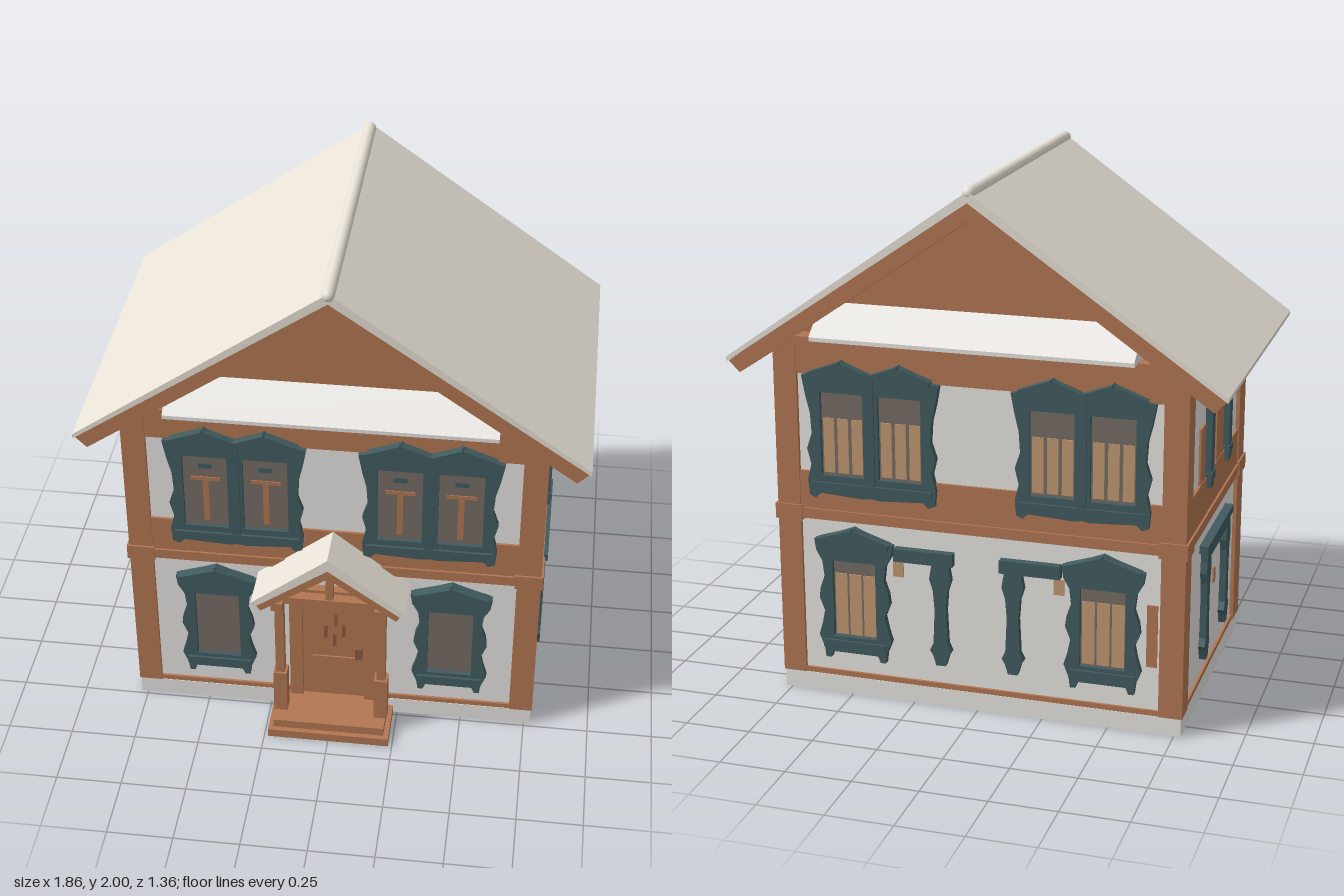
import * as THREE from 'three';

const mat = (name, color) => {
  const m = new THREE.MeshStandardMaterial({ color });
  m.name = name;
  return m;
};

export function createModel() {
  const wall = mat('plaster', 0xfffcf8);
  const snow = mat('snow', 0xebe5da);
  const wood = mat('wood', 0xb27652);
  const darkWood = mat('dark wood', 0x8a5a40);
  const teal = mat('teal trim', 0x415b5f);
  const glass = mat('glass', 0x766b63);
  const tan = mat('curtain', 0xc29872);
  const floorMat = mat('floor', 0xdcd8d2);

  const house = new THREE.Group();
  house.name = 'house';

  const add = (parent, name, geo, material) => {
    const m = new THREE.Mesh(geo, material);
    m.name = name;
    parent.add(m);
    return m;
  };
  // Box given by its minimum and maximum on each axis
  const box = (parent, name, material, x0, x1, y0, y1, z0, z1) => {
    const m = add(parent, name, new THREE.BoxGeometry(x1 - x0, y1 - y0, z1 - z0), material);
    m.position.set((x0 + x1) / 2, (y0 + y1) / 2, (z0 + z1) / 2);
    return m;
  };
  const shapeOf = pts => new THREE.Shape(pts.map(p => new THREE.Vector2(p[0], p[1])));
  const extrude = (shape, z0, z1) =>
    new THREE.ExtrudeGeometry(shape, { depth: z1 - z0, bevelEnabled: false }).translate(0, 0, z0);
  // Closed outline from a right half running bottom to top
  const mirrored = half =>
    half.concat(half.filter(p => p[0] > 0).reverse().map(p => [-p[0], p[1]]));
  const rectHole = (x0, x1, y0, y1) =>
    new THREE.Path([[x0, y0], [x0, y1], [x1, y1], [x1, y0]].map(p => new THREE.Vector2(...p)));
  // Gable roof section: two sloping slabs meeting at the ridge
  const chevron = (top, tipX, tipY, lowX, lowY, under) =>
    shapeOf([[0, top], [-tipX, tipY], [-lowX, lowY], [0, under], [lowX, lowY], [tipX, tipY]]);

  // Core, hollow foundation with a recessed floor, and timber bands
  box(house, 'plasterWalls', wall, -0.765, 0.765, 0.05, 1.4, -0.578, 0.473);
  const ring = shapeOf([[-0.775, -0.485], [0.775, -0.485], [0.775, 0.59], [-0.775, 0.59]]);
  ring.holes.push(rectHole(-0.755, 0.755, -0.465, 0.57));
  add(house, 'foundation', extrude(ring, 0, 0.07), wall).rotation.x = -Math.PI / 2;
  box(house, 'floor', floorMat, -0.755, 0.755, 0.03, 0.06, -0.57, 0.465);
  const band = (name, y0, y1, out) =>
    box(house, name, wood, -0.765 - out, 0.765 + out, y0, y1, -0.578 - out, 0.473 + out);
  band('baseRail', 0.07, 0.09, 0.01);
  band('middleBeam', 0.7, 0.885, 0.01);
  band('middleMoulding', 0.7, 0.74, 0.018);
  band('topBeam', 1.26, 1.41, 0.01);
  band('topMoulding', 1.37, 1.395, 0.018);

  // Corner posts with collars
  for (const sx of [-1, 1]) for (const [z0, z1] of [[0.375, 0.487], [-0.592, -0.495]]) {
    const [a, b] = sx > 0 ? [0.69, 0.78] : [-0.78, -0.69];
    box(house, 'cornerPost', wood, a, b, 0.07, 1.39, z0, z1);
    box(house, 'cornerCollar', wood, a - 0.008, b + 0.008, 0.69, 0.75, z0 - 0.008, z1 + 0.008);
  }

  // Gable and main roof
  add(house, 'gable', extrude(shapeOf([[-0.77, 1.36], [0.77, 1.36], [0, 1.9]]), -0.55, 0.45), wood);
  add(house, 'roofBoards', extrude(chevron(1.95, 0.922, 1.31, 0.88, 1.268, 1.88), -0.665, 0.583), wood);
  add(house, 'roofSnow', extrude(chevron(1.985, 0.93, 1.325, 0.928, 1.308, 1.945), -0.672, 0.59), snow);
  const ridge = add(house, 'ridgeSnow', new THREE.CapsuleGeometry(0.024, 1.23, 4, 12), snow);
  ridge.rotation.x = Math.PI / 2;
  ridge.position.set(0, 1.976, -0.035);

  // Wall groups: local x runs along the wall, local z points outward
  const side = (name, x, z, turn) => {
    const g = new THREE.Group();
    g.name = name;
    g.position.set(x, 0, z);
    g.rotation.y = turn;
    house.add(g);
    return g;
  };
  const front = side('frontWall', 0, 0.473, 0);
  const back = side('backWall', 0, -0.578, Math.PI);
  const left = side('leftWall', 0.765, 0, Math.PI / 2);
  const right = side('rightWall', -0.765, 0, -Math.PI / 2);

  // Carved window outlines
  const singleHalf = [[0, 0.175], [0.09, 0.175], [0.1, 0.15], [0.12, 0.15], [0.125, 0.19],
    [0.145, 0.24], [0.13, 0.29], [0.12, 0.34], [0.14, 0.39], [0.135, 0.43], [0.118, 0.48], [0.125, 0.54],
    [0.148, 0.58], [0.155, 0.625], [0.1, 0.635], [0.05, 0.66], [0, 0.68]];
  const doubleHalf = [[0, 0.805], [0.03, 0.8], [0.2, 0.81], [0.22, 0.79], [0.245, 0.8], [0.25, 0.86],
    [0.235, 0.92], [0.25, 0.98], [0.23, 1.04], [0.235, 1.12], [0.25, 1.18], [0.265, 1.26],
    [0.21, 1.27], [0.16, 1.285], [0.11, 1.325], [0.06, 1.285], [0, 1.265]];
  const crown = (g, cx, y, w, rise) => {
    for (const s of [-1, 1]) {
      const m = add(g, 'windowCrown', new THREE.BoxGeometry(Math.hypot(w, rise), 0.025, 0.042), teal);
      m.position.set(cx + s * w / 2, y - rise / 2, 0.021);
      m.rotation.z = -s * Math.atan2(rise, w);
    }
  };
  const singleWindow = (wallGroup, u, curtains) => {
    const g = new THREE.Group();
    g.name = 'singleWindow';
    g.position.x = u;
    wallGroup.add(g);
    const s = shapeOf(mirrored(singleHalf));
    s.holes.push(rectHole(-0.085, 0.085, 0.24, 0.545));
    add(g, 'windowFrame', extrude(s, 0, 0.026), teal);
    box(g, 'windowGlass', glass, -0.09, 0.09, 0.235, 0.55, 0, 0.008);
    box(g, 'windowSill', teal, -0.125, 0.125, 0.195, 0.225, 0, 0.036);
    crown(g, 0, 0.663, 0.14, 0.045);
    if (curtains) for (const x of [-0.056, 0, 0.056])
      box(g, 'curtain', tan, x - 0.024, x + 0.024, 0.245, 0.49, 0.004, 0.012);
  };
  const doubleWindow = (wallGroup, u, curtains) => {
    const g = new THREE.Group();
    g.name = 'doubleWindow';
    g.position.x = u;
    wallGroup.add(g);
    const s = shapeOf(mirrored(doubleHalf));
    for (const x of [-0.112, 0.112]) {
      s.holes.push(rectHole(x - 0.083, x + 0.083, 0.88, 1.2));
      box(g, 'windowGlass', glass, x - 0.087, x + 0.087, 0.875, 1.205, 0, 0.012);
      crown(g, x, 1.308, 0.12, 0.045);
      if (curtains) for (const d of [-0.055, 0, 0.055])
        box(g, 'curtain', tan, x + d - 0.021, x + d + 0.021, 0.89, 1.1, 0.009, 0.016);
      else {
        box(g, 'curtain', wood, x - 0.011, x + 0.011, 0.9, 1.09, 0.009, 0.016);
        box(g, 'curtainRail', wood, x - 0.055, x + 0.055, 1.085, 1.1, 0.009, 0.016);
        box(g, 'paneMark', teal, x - 0.025, x + 0.025, 1.14, 1.16, 0.009, 0.016);
      }
    }
    add(g, 'windowFrame', extrude(s, 0, 0.028), teal);
    box(g, 'windowSill', teal, -0.235, 0.235, 0.83, 0.855, 0, 0.038);
    box(g, 'windowMullion', teal, -0.016, 0.016, 0.82, 1.26, 0, 0.036);
  };
  // Carved upright with a stepped foot and a flared head
  const trimPost = (g, u, y0, y1) => {
    const h = y1 - y0;
    const half = [[0, y0], [0.018, y0], [0.03, y0 + 0.04], [0.042, y0 + 0.06], [0.028, y0 + 0.09],
      [0.022, y0 + h * 0.5], [0.028, y0 + h * 0.68], [0.042, y0 + h * 0.78], [0.034, y1 - 0.05], [0.034, y1], [0, y1]];
    add(g, 'trimPost', extrude(shapeOf(mirrored(half)), 0, 0.026), teal).position.x = u;
  };
  // Plate on a wall, flipped to the other half when s is -1
  const span = (g, s, name, m, a, b, y0, y1, d) =>
    box(g, name, m, Math.min(s * a, s * b), Math.max(s * a, s * b), y0, y1, 0, d);

  // Front and back windows, and the snowy ledge under each gable
  for (const s of [-1, 1]) {
    singleWindow(front, s * 0.45, false);
    doubleWindow(front, s * 0.36, false);
    singleWindow(back, s * 0.48, true);
    doubleWindow(back, s * 0.4, true);
    trimPost(back, s * 0.14, 0.17, 0.61);
    span(back, s, 'trimLintel', teal, 0.09, 0.32, 0.57, 0.62, 0.032);
    span(back, s, 'barePatch', tan, 0.29, 0.33, 0.5, 0.56, 0.006);
  }
  span(back, 1, 'barePatch', wood, 0.64, 0.68, 0.26, 0.5, 0.006);
  for (const g of [front, back]) {
    const section = shapeOf([[-0.1, 1.41], [-0.1, 1.425], [0.03, 1.53], [0.03, 1.41]]);
    const ledge = add(g, 'ledgeSnow', extrude(section, -0.6, 0.6), wall);
    ledge.rotation.y = Math.PI / 2;
    box(g, 'ledgeBoard', wood, -0.7, 0.7, 1.395, 1.412, -0.02, 0.05);
  }

  // Side wall trim, mirrored left and right
  for (const [g, s] of [[left, 1], [right, -1]]) {
    for (const u of [-0.155, 0.215]) trimPost(g, s * u, 0.155, 0.61);
    span(g, s, 'trimLintel', teal, -0.18, 0.25, 0.555, 0.6, 0.024);
    span(g, s, 'trimCornice', teal, -0.205, 0.285, 0.6, 0.63, 0.034);
    for (const u of [-0.135, 0.205]) {
      span(g, s, 'trimUpright', teal, u - 0.026, u + 0.026, 0.84, 1.27, 0.026);
      span(g, s, 'trimBlock', teal, u - 0.036, u + 0.036, 0.87, 0.9, 0.03);
      span(g, s, 'trimCrown', teal, u - 0.04, u + 0.13, 1.24, 1.265, 0.03);
    }
    for (const [a, b, h] of [[-0.08, -0.04, 1.08], [-0.04, 0.05, 1.1], [0.26, 0.34, 1.1]])
      span(g, s, 'sidePanel', wood, a, b, 0.88, h, 0.008);
  }
  box(right, 'wallKnot', wood, -0.015, 0.015, 0.38, 0.44, 0, 0.006);

  // Door with a carved pattern
  const door = new THREE.Group();
  door.name = 'door';
  front.add(door);
  box(door, 'doorLeaf', wood, -0.14, 0.14, 0.07, 0.6, 0, 0.012);
  for (const s of [-1, 1])
    box(door, 'doorJamb', wood, s * 0.145 - 0.025, s * 0.145 + 0.025, 0.07, 0.61, 0, 0.03);
  box(door, 'doorHead', wood, -0.17, 0.17, 0.575, 0.615, 0, 0.035);
  for (const [y0, y1] of [[0.11, 0.27], [0.33, 0.54]])
    box(door, 'doorPanel', wood, -0.083, 0.083, y0, y1, 0.01, 0.019);
  for (const [x, y] of [[-0.03, 0.4], [0.005, 0.36], [0.01, 0.46], [0.04, 0.41]])
    box(door, 'doorCarving', darkWood, x - 0.006, x + 0.006, y - 0.03, y + 0.03, 0.018, 0.022);
  box(door, 'doorHandle', darkWood, 0.085, 0.112, 0.28, 0.33, 0.01, 0.035);

  // Porch
  const porch = new THREE.Group();
  porch.name = 'porch';
  house.add(porch);
  box(porch, 'porchStep', wood, -0.235, 0.235, 0, 0.035, 0.44, 0.68);
  box(porch, 'porchDeck', wood, -0.215, 0.215, 0.035, 0.07, 0.44, 0.66);
  for (const s of [-1, 1]) {
    const x = s * 0.195;
    box(porch, 'porchPostBase', wood, x - 0.026, x + 0.026, 0.07, 0.26, 0.545, 0.6);
    box(porch, 'porchPost', wood, x - 0.017, x + 0.017, 0.26, 0.62, 0.555, 0.59);
    box(porch, 'porchSideBeam', wood, x - 0.022, x + 0.022, 0.61, 0.645, 0.47, 0.64);
  }
  box(porch, 'porchFrontBeam', wood, -0.22, 0.22, 0.625, 0.655, 0.57, 0.61);
  box(porch, 'porchKingPost', wood, -0.014, 0.014, 0.65, 0.83, 0.575, 0.605);
  add(porch, 'porchRoofBoards', extrude(chevron(0.845, 0.275, 0.64, 0.255, 0.612, 0.79), 0.47, 0.645), wood);
  add(porch, 'porchRoofSnow', extrude(chevron(0.885, 0.29, 0.655, 0.285, 0.63, 0.835), 0.47, 0.655), snow);

  return house;
}
